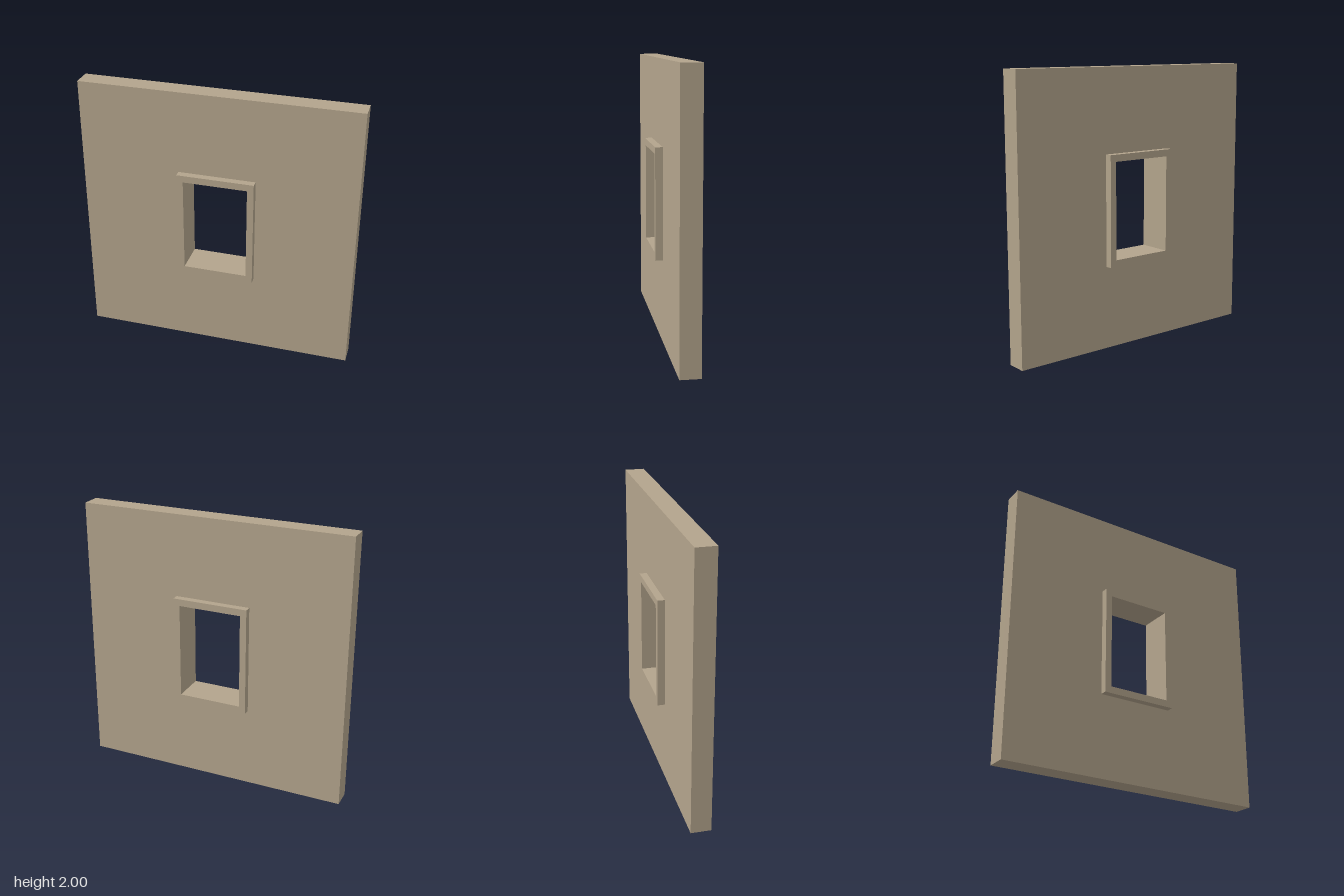
import * as THREE from 'three';

// Rectangular slab in the XY plane with a rectangular opening, centred on z = 0
function panelWithOpening(name, outer, inner, centreY, depth, material) {
  const rect = (path, [w, h]) => path
    .moveTo(-w / 2, centreY - h / 2)
    .lineTo(w / 2, centreY - h / 2)
    .lineTo(w / 2, centreY + h / 2)
    .lineTo(-w / 2, centreY + h / 2)
    .closePath();
  const shape = new THREE.Shape();
  rect(shape, outer);
  const hole = new THREE.Path();
  rect(hole, inner);
  shape.holes.push(hole);
  const geometry = new THREE.ExtrudeGeometry(shape, { depth, bevelEnabled: false });
  geometry.translate(0, 0, -depth / 2);
  const mesh = new THREE.Mesh(geometry, material);
  mesh.name = name;
  return mesh;
}

export function createModel() {
  const model = new THREE.Group();
  model.name = 'wallWithWindow';

  const stone = new THREE.MeshStandardMaterial({ color: 0xb3a48c });
  stone.name = 'warm stone';

  const frameSize = [0.56, 0.8];
  const openingSize = [0.465, 0.7];

  // Square wall, cut out to receive the frame
  model.add(panelWithOpening('wall', [2, 2], frameSize, 1, 0.145, stone));
  // Window frame, standing proud on both faces
  model.add(panelWithOpening('windowFrame', frameSize, openingSize, 1, 0.25, stone));

  return model;
}
